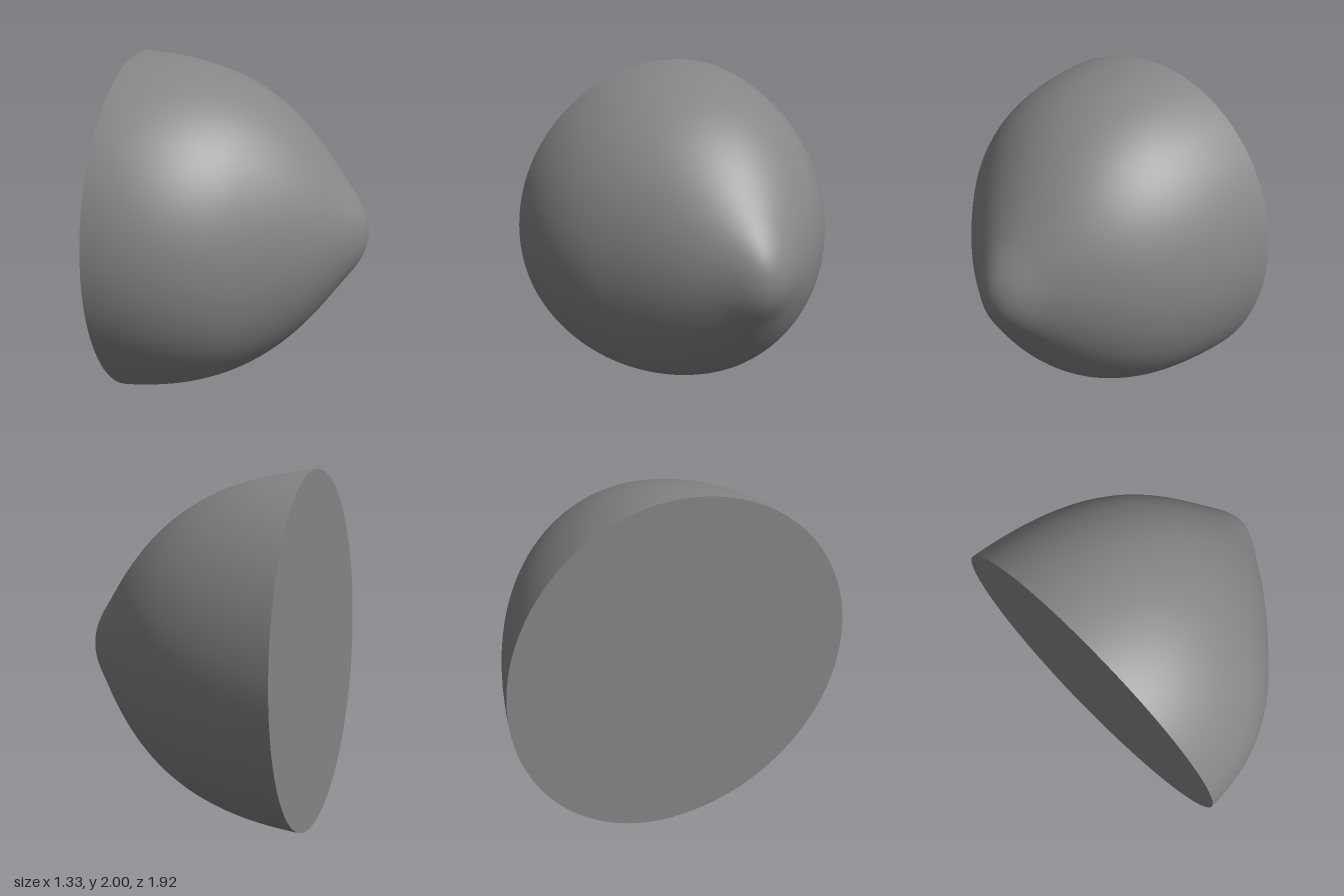
import * as THREE from 'three';

// Three joined cubic Bezier spans from the wide end to the tip.
// Each control section: [x, half height, back z, front z]
const CONTROLS = [
  [-0.665, 1, -0.96, 0.957],
  [-0.333, 0.977, -0.917, 0.968],
  [-0.104, 0.898, -0.845, 0.849],
  [0.073, 0.781, -0.745, 0.69],
  [0.25, 0.664, -0.645, 0.531],
  [0.375, 0.51, -0.516, 0.399],
  [0.5, 0.335, -0.36, 0.23],
  [0.58, 0.223, -0.26, 0.122],
  [0.665, 0.14, -0.181, 0.029],
  [0.665, 0, -0.06, -0.06],
];
const SPANS = 3, ALONG = 96, AROUND = 96;
const CENTRE_Y = 1;

// Section at u, from 0 at the wide end to 1 at the tip
function sectionAt(u) {
  const span = Math.min(Math.floor(u * SPANS), SPANS - 1);
  const t = u * SPANS - span, s = 1 - t;
  const [a, b, c, d] = CONTROLS.slice(span * 3, span * 3 + 4);
  return a.map((v, i) => s * s * s * v + 3 * s * s * t * b[i] + 3 * s * t * t * c[i] + t * t * t * d[i]);
}

// Point on a section made of two half ellipses that meet at top and bottom
function ringPoint([x, h, back, front], j) {
  const angle = (j / AROUND) * Math.PI * 2;
  const mid = THREE.MathUtils.mapLinear(x, -0.665, 0.665, -0.045, -0.06);
  const c = Math.cos(angle);
  const reach = c > 0 ? front - mid : mid - back;
  return [x, CENTRE_Y + h * Math.sin(angle), mid + reach * c];
}

function shellGeometry() {
  const positions = [], index = [];
  for (let i = 0; i < ALONG; i++) {
    const section = sectionAt(i / ALONG);
    for (let j = 0; j < AROUND; j++) positions.push(...ringPoint(section, j));
  }
  // Single vertex at the tip
  const tip = positions.length / 3;
  positions.push(0.665, CENTRE_Y, -0.06);
  for (let i = 0; i < ALONG; i++) {
    for (let j = 0; j < AROUND; j++) {
      const a = i * AROUND + j, b = i * AROUND + ((j + 1) % AROUND);
      if (i === ALONG - 1) index.push(a, tip, b);
      else index.push(a, a + AROUND, b, b, a + AROUND, b + AROUND);
    }
  }
  return finish(positions, index);
}

// Flat disc closing the wide end, facing -x
function baseGeometry() {
  const positions = [-0.665, CENTRE_Y, -0.045], index = [];
  for (let j = 0; j < AROUND; j++) {
    positions.push(...ringPoint(CONTROLS[0], j));
    index.push(0, 1 + j, 1 + ((j + 1) % AROUND));
  }
  return finish(positions, index);
}

function finish(positions, index) {
  const geometry = new THREE.BufferGeometry();
  geometry.setAttribute('position', new THREE.Float32BufferAttribute(positions, 3));
  geometry.setIndex(index);
  geometry.computeVertexNormals();
  return geometry;
}

export function createModel() {
  const group = new THREE.Group();
  group.name = 'pointedDome';
  const material = new THREE.MeshStandardMaterial({ color: 0x868686, side: THREE.DoubleSide });
  const add = (name, geometry) => {
    const mesh = new THREE.Mesh(geometry, material);
    mesh.name = name;
    group.add(mesh);
  };
  add('domeShell', shellGeometry());
  add('flatBase', baseGeometry());
  return group;
}
